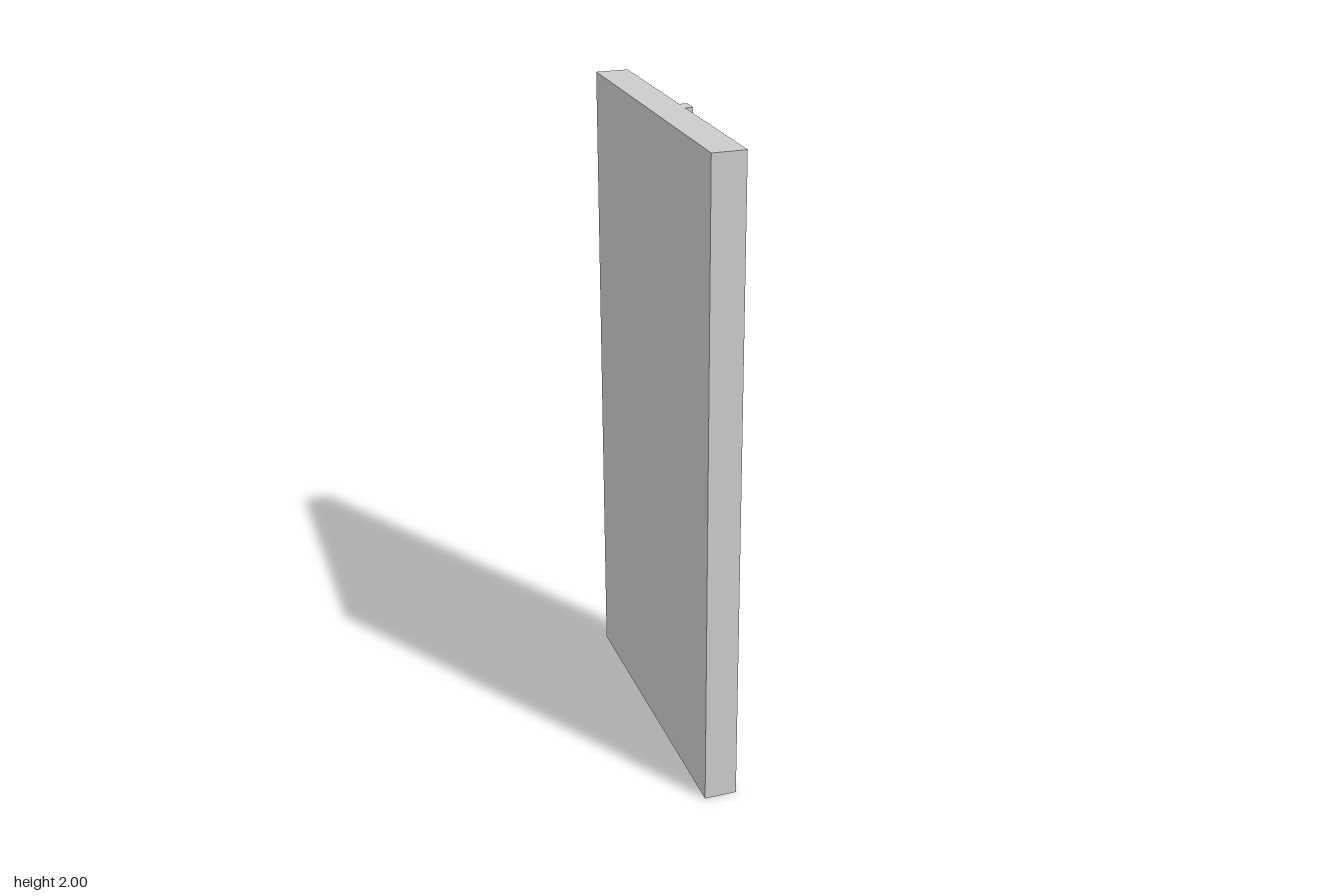
import * as THREE from 'three';

export function createModel() {
  const group = new THREE.Group();
  const material = new THREE.MeshStandardMaterial({ color: 0xcccccc });

  const add = (name, geometry, x, y) => {
    const mesh = new THREE.Mesh(geometry, material);
    mesh.name = name;
    mesh.position.set(x, y, 0);
    group.add(mesh);
  };

  // Flat panel, with a cover strip half sunk into its +x face
  add('panel', new THREE.BoxGeometry(0.1, 2, 1), -0.0215, 1);
  add('coverStrip', new THREE.BoxGeometry(0.05, 2, 0.05), 0.0275, 1);

  // Round rivet heads along the strip, slightly unevenly spaced
  const rivet = new THREE.SphereGeometry(0.0237, 32, 16);
  const heights = [0.058, 0.281, 0.519, 0.748, 1.001, 1.224, 1.449, 1.7, 1.936];
  heights.forEach((y, i) => add(`rivet${i + 1}`, rivet, 0.0465, y));

  return group;
}
